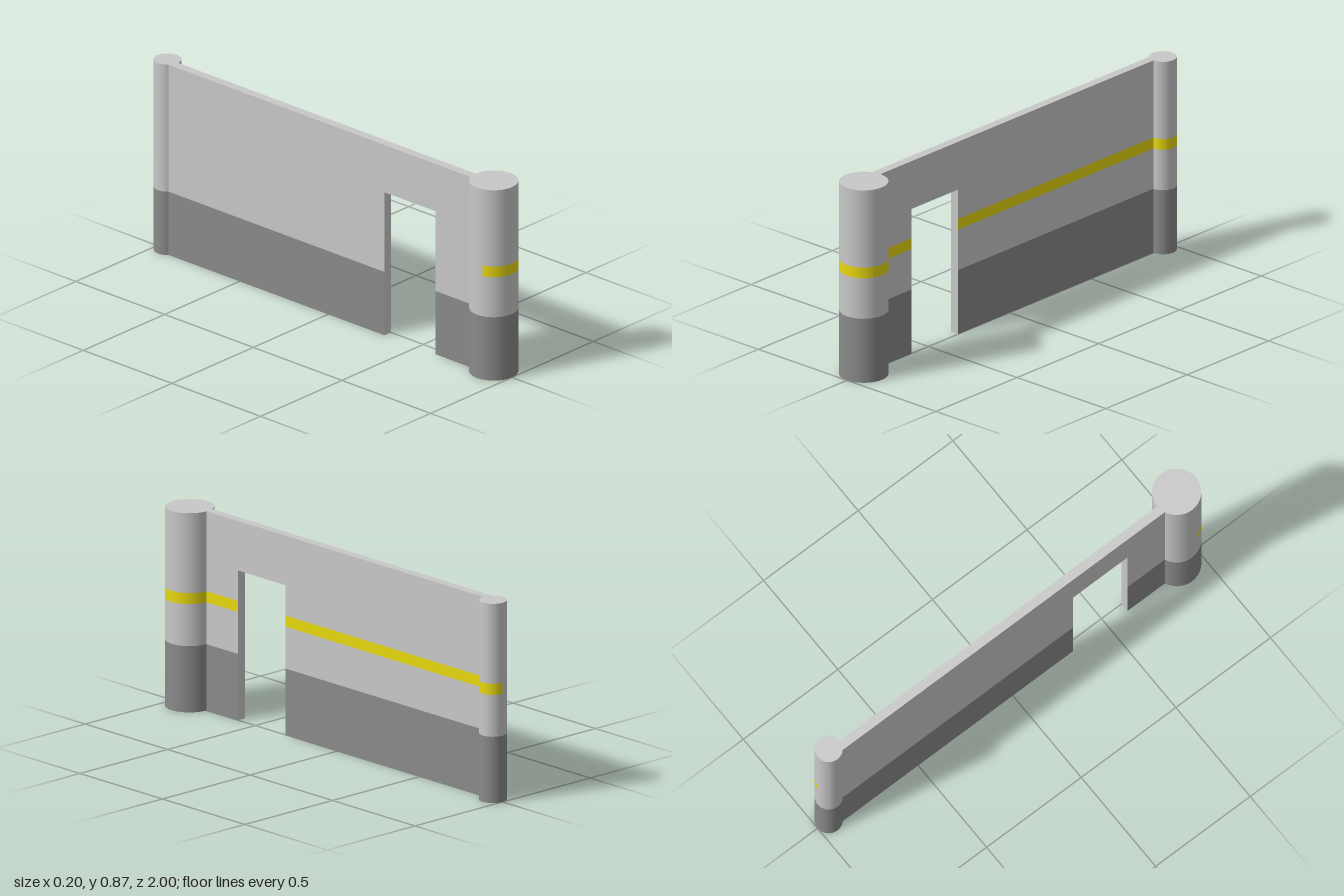
import * as THREE from 'three';

export function createModel() {
  const model = new THREE.Group();
  const lightGrey = new THREE.MeshStandardMaterial({ color: 0xc8c8c8 });
  const darkGrey = new THREE.MeshStandardMaterial({ color: 0x8a8a8a });
  const yellow = new THREE.MeshStandardMaterial({ color: 0xfbea10 });
  lightGrey.name = 'light grey';
  darkGrey.name = 'dark grey';
  yellow.name = 'yellow';

  const TOP = 0.865, SKIRT = 0.288, STRIPE0 = 0.47, STRIPE1 = 0.518, DOOR_TOP = 0.65;
  const X0 = -0.04, X1 = 0;                    // back and front faces of the wall
  const Z0 = -0.9, DOOR0 = 0.317, DOOR1 = 0.605, Z1 = 0.81;

  const add = (parent, name, geometry, material) => {
    const mesh = new THREE.Mesh(geometry, material);
    mesh.name = name;
    parent.add(mesh);
    return mesh;
  };

  // Round end posts: colour bands plus caps; the stripe covers only an arc.
  function post(name, radius, z, arcStart) {
    const group = new THREE.Group();
    group.name = name;
    group.position.z = z;
    model.add(group);
    const band = (part, y0, y1, material, a0 = 0, a1 = Math.PI * 2) => {
      const segments = Math.ceil((a1 - a0) / (Math.PI / 24));
      const g = new THREE.CylinderGeometry(radius, radius, y1 - y0, segments, 1, true, a0, a1 - a0);
      add(group, part, g, material).position.y = (y0 + y1) / 2;
    };
    band('postSkirt', 0, SKIRT, darkGrey);
    band('postMiddle', SKIRT, STRIPE0, lightGrey);
    band('postStripe', STRIPE0, STRIPE1, yellow, arcStart, Math.PI);
    band('postStripeGap', STRIPE0, STRIPE1, lightGrey, Math.PI, arcStart + Math.PI * 2);
    band('postUpper', STRIPE1, TOP, lightGrey);
    for (const [part, y, turn] of [['postTop', TOP, -1], ['postBottom', 0, 1]]) {
      const cap = add(group, part, new THREE.CircleGeometry(radius, 48), lightGrey);
      cap.rotation.x = turn * Math.PI / 2;
      cap.position.y = y;
    }
  }
  post('largePost', 0.1025, 0.8975, THREE.MathUtils.degToRad(-75));
  post('smallPost', 0.0585, -0.9415, 0);

  // Wall panels on both long faces.
  const wall = new THREE.Group();
  wall.name = 'wall';
  model.add(wall);
  function panel(name, z0, z1, y0, y1, front, back = front) {
    for (const [x, turn, material] of [[X1, 1, front], [X0, -1, back]]) {
      const mesh = add(wall, name, new THREE.PlaneGeometry(z1 - z0, y1 - y0), material);
      mesh.rotation.y = turn * Math.PI / 2;
      mesh.position.set(x, (y0 + y1) / 2, (z0 + z1) / 2);
    }
  }
  for (const [z0, z1] of [[Z0, DOOR0], [DOOR1, Z1]]) {
    panel('wallSkirt', z0, z1, 0, SKIRT, darkGrey);
    panel('wallMiddle', z0, z1, SKIRT, STRIPE0, lightGrey);
    panel('wallStripe', z0, z1, STRIPE0, STRIPE1, yellow, lightGrey);
    panel('wallUpper', z0, z1, STRIPE1, DOOR_TOP, lightGrey);
  }
  panel('wallTopBand', Z0, Z1, DOOR_TOP, TOP, lightGrey);

  // Horizontal edges: wall top, door lintel underside and wall bottoms.
  const edges = [['wallTop', TOP, Z0, Z1, -1], ['lintelUnderside', DOOR_TOP, DOOR0, DOOR1, 1],
    ['wallBottom', 0, Z0, DOOR0, 1], ['wallBottom', 0, DOOR1, Z1, 1]];
  for (const [name, y, z0, z1, turn] of edges) {
    const mesh = add(wall, name, new THREE.PlaneGeometry(X1 - X0, z1 - z0), lightGrey);
    mesh.rotation.x = turn * Math.PI / 2;
    mesh.position.set((X0 + X1) / 2, y, (z0 + z1) / 2);
  }

  // Door jambs
  for (const [z, turn] of [[DOOR0, 0], [DOOR1, Math.PI]]) {
    const jamb = add(wall, 'doorJamb', new THREE.PlaneGeometry(X1 - X0, DOOR_TOP), lightGrey);
    jamb.rotation.y = turn;
    jamb.position.set((X0 + X1) / 2, DOOR_TOP / 2, z);
  }
  return model;
}
